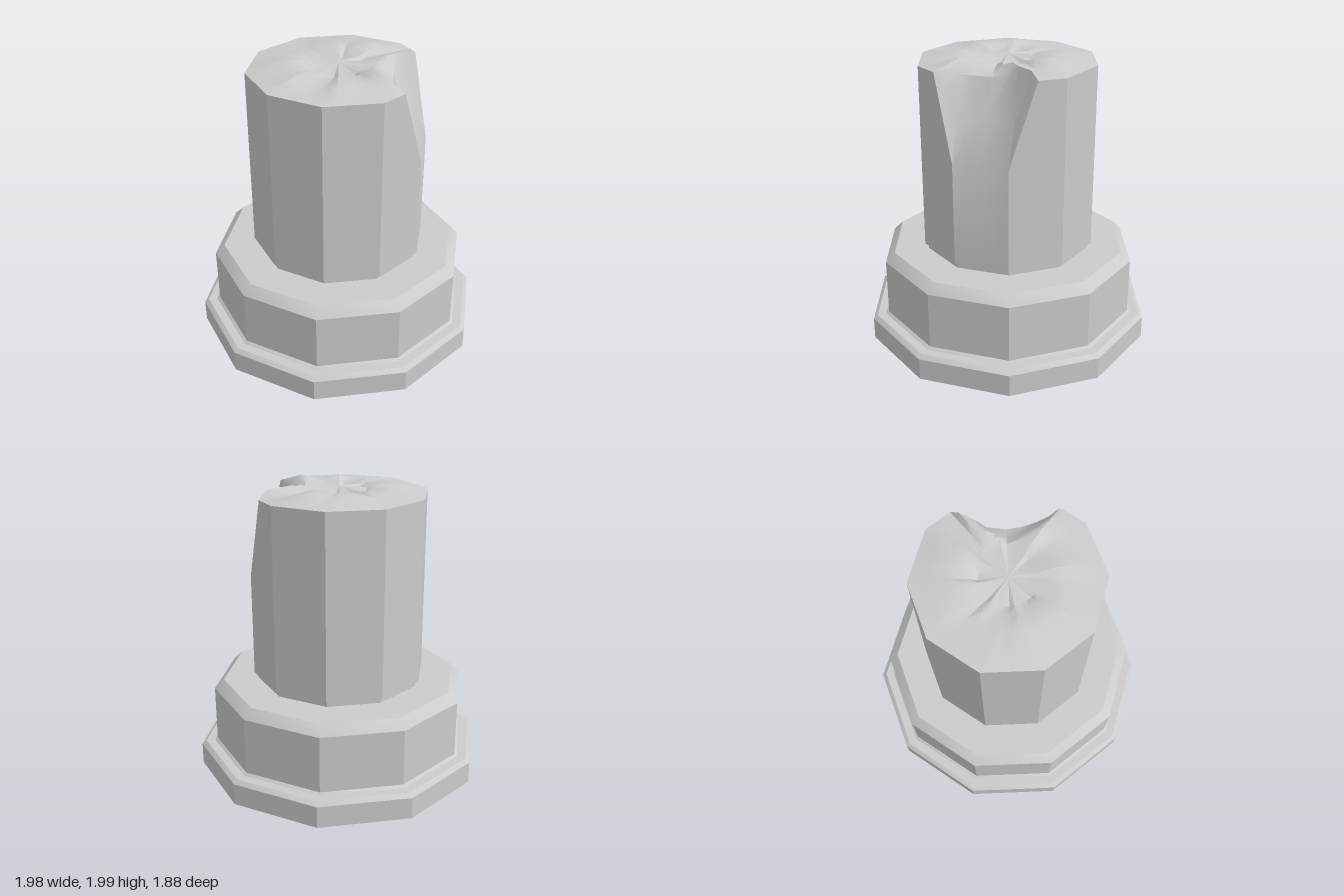
import * as THREE from 'three';
import { toCreasedNormals } from 'three/addons/utils/BufferGeometryUtils.js';

const SIDES = 10, SUB = 4, N = SIDES * SUB;
const material = new THREE.MeshStandardMaterial({ color: 0xcccccc });

// Point i (of N) on the outline of a ten-sided ring
function outline(i, radius, y) {
  const corner = k => {
    const a = (k * Math.PI * 2) / SIDES;
    return new THREE.Vector3(radius * Math.cos(a), y, radius * Math.sin(a));
  };
  const side = Math.floor(i / SUB);
  return corner(side).lerp(corner(side + 1), i / SUB - side);
}

// Inner lip of the broken notch, for outline points -6 to 2
const LIP = [
  [0.3, 1.93, -0.48], [0.32, 1.98, -0.4], [0.3, 1.985, -0.31], [0.3, 1.92, -0.22], [0.33, 1.895, -0.11],
  [0.37, 1.9, -0.02], [0.42, 1.91, 0.06], [0.47, 1.92, 0.12], [0.543, 1.93, 0.176],
];
const TOP = 1.93, NOTCH = 1.38;

function shaftGeometry() {
  const columns = [];
  for (let k = 0; k < N; k++) {
    const i = k >= N - 6 ? k - N : k;
    const inNotch = i >= -6 && i <= 2;
    // the wall top drops to the notch floor line
    const drop = inNotch ? Math.min(1, (4 - Math.abs(i + 2)) / 2) : 0;
    const wallTop = outline(i, 0.6, TOP - drop * (TOP - NOTCH));
    const lip = inNotch && drop > 0 ? new THREE.Vector3(...LIP[i + 6]) : wallTop.clone();
    // hollow middle of the notch face
    const mid = wallTop.clone().lerp(lip, 0.55);
    mid.y -= 0.03 * drop;
    // broken top: uneven ridge, then a jagged hollow round a low cone
    const a = (k / N) * Math.PI * 2;
    const wave = Math.sin(3 * a + 0.6) * 0.6 + Math.sin(7 * a) * 0.4;
    const jag = ((k + 2) % 5) / 4;
    const crest = outline(i, 0.235 + 0.035 * jag, 1.955 + 0.025 * jag + 0.012 * wave);
    const ring = (t, y) => {
      const p = lip.clone().lerp(crest, t);
      p.y += y;
      return p;
    };
    columns.push([
      outline(i, 0.575, 0.68), outline(i, 0.6, 0.68), wallTop, mid, lip,
      ring(0.3, 0.003 + 0.006 * wave), ring(0.65, 0.012 + 0.014 * wave), crest,
      outline(i, 0.185, 1.935 + 0.02 * jag), new THREE.Vector3(0, 1.97, 0),
    ]);
  }

  const positions = [];
  const triangle = (a, b, c) => {
    if (new THREE.Triangle(a, b, c).getArea() > 1e-7) {
      for (const p of [a, b, c]) positions.push(p.x, p.y, p.z);
    }
  };
  columns.forEach((left, k) => {
    const right = columns[(k + 1) % N];
    for (let r = 0; r < left.length - 1; r++) {
      triangle(left[r], left[r + 1], right[r]);
      triangle(right[r], left[r + 1], right[r + 1]);
    }
  });
  const geometry = new THREE.BufferGeometry();
  geometry.setAttribute('position', new THREE.Float32BufferAttribute(positions, 3));
  return toCreasedNormals(geometry, 0.55);
}

// Ten-sided turned part, from [radius, height] pairs
function turned(name, profile) {
  const points = profile.map(([r, y]) => new THREE.Vector2(r, y));
  const geometry = new THREE.LatheGeometry(points, SIDES, Math.PI / 2);
  const mesh = new THREE.Mesh(toCreasedNormals(geometry, 0.55), material);
  mesh.name = name;
  return mesh;
}

export function createModel() {
  const group = new THREE.Group();
  group.name = 'brokenColumn';

  // Bevelled plinth at the foot
  group.add(turned('plinth', [[0, 0], [0.99, 0], [0.99, 0.15], [0.96, 0.175], [0.9, 0.175]]));
  // Drum with a small foot and a bevelled shoulder
  group.add(turned('drum', [[0.9, 0.175], [0.88, 0.19], [0.88, 0.578], [0.815, 0.64], [0.575, 0.64]]));
  // Recessed neck under the shaft
  group.add(turned('neck', [[0.575, 0.64], [0.575, 0.68]]));

  // Shaft with a broken top and a notch on its back left side
  const shaft = new THREE.Mesh(shaftGeometry(), material);
  shaft.name = 'shaft';
  group.add(shaft);
  return group;
}
